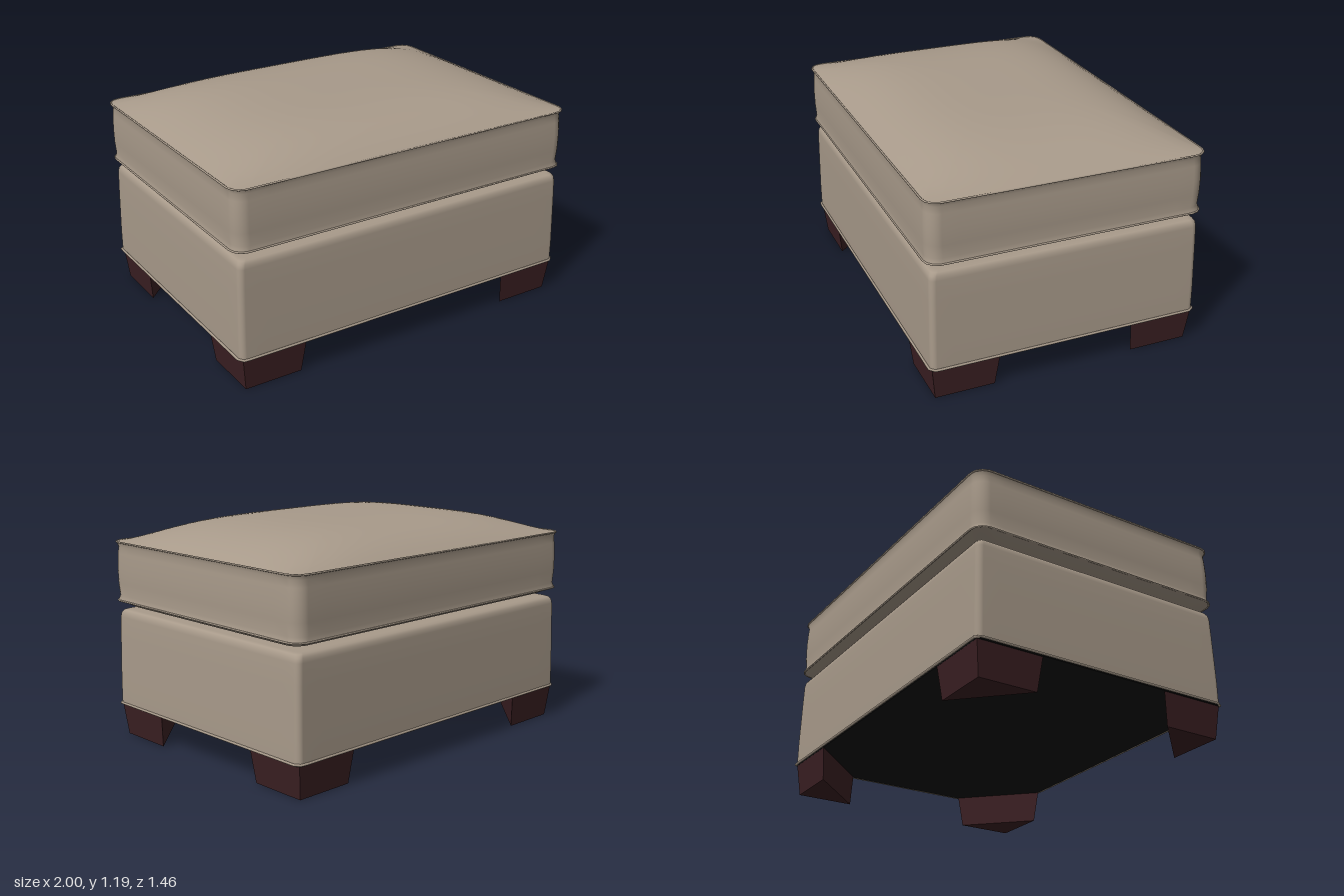
import * as THREE from 'three';

const fabric = new THREE.MeshStandardMaterial({ color: 0xa89a8a });
fabric.name = 'taupe upholstery';
const wood = new THREE.MeshStandardMaterial({ color: 0x3c2023 });
wood.name = 'dark wood';
const lining = new THREE.MeshStandardMaterial({ color: 0x111111 });
lining.name = 'black lining';

// Rounded rectangle in x/z, counterclockwise seen from above, with subdivided sides
function ring(hw, hd, r, y, sides = 16, arc = 6) {
  const corners = [[1, -1, 0], [-1, -1, 1], [-1, 1, 2], [1, 1, 3]];
  const base = [];
  for (const [sx, sz, q] of corners) {
    for (let i = 0; i <= arc; i++) {
      const a = (q + i / arc) * Math.PI / 2;
      base.push([sx * (hw - r) + r * Math.cos(a), sz * (hd - r) - r * Math.sin(a)]);
    }
  }
  const points = [];
  base.forEach((p, i) => {
    points.push(new THREE.Vector3(p[0], y, p[1]));
    if (i % (arc + 1) === arc) {
      const n = base[(i + 1) % base.length];
      for (let k = 1; k < sides; k++) {
        const t = k / sides;
        points.push(new THREE.Vector3(p[0] + (n[0] - p[0]) * t, y, p[1] + (n[1] - p[1]) * t));
      }
    }
  });
  return points;
}

// Skin between closed rings listed from bottom to top
function loft(rings) {
  const n = rings[0].length, index = [];
  for (let i = 0; i < rings.length - 1; i++) {
    for (let j = 0; j < n; j++) {
      const k = (j + 1) % n;
      const a = i * n + j, b = i * n + k, c = a + n, d = b + n;
      index.push(a, b, c, b, d, c);
    }
  }
  const g = new THREE.BufferGeometry().setFromPoints(rings.flat());
  g.setIndex(index);
  g.computeVertexNormals();
  return g;
}

function piping(hw, hd, r, y, radius) {
  const curve = new THREE.CatmullRomCurve3(ring(hw, hd, r, y), true);
  return new THREE.TubeGeometry(curve, 200, radius, 6, true);
}

export function createModel() {
  const model = new THREE.Group();
  const add = (name, geometry, material, parent = model) => {
    const mesh = new THREE.Mesh(geometry, material);
    mesh.name = name;
    parent.add(mesh);
    return mesh;
  };

  // Upholstered box with softened top edge
  const W = 0.982, D = 0.716;
  add('baseBox', loft([
    ring(W, D, 0.03, 0.18), ring(W, D, 0.03, 0.3), ring(W - 0.005, D - 0.004, 0.03, 0.55),
    ring(W - 0.008, D - 0.006, 0.03, 0.655), ring(W - 0.012, D - 0.01, 0.03, 0.678),
    ring(W - 0.022, D - 0.02, 0.03, 0.692), ring(W - 0.04, D - 0.038, 0.03, 0.698),
    ring(W - 0.2, D - 0.2, 0.02, 0.699), ring(0.001, 0.001, 0.0005, 0.699),
  ]), fabric);
  add('basePiping', piping(0.986, 0.72, 0.03, 0.18, 0.007), fabric);

  // Black dust cover underneath
  const cover = add('dustCover', new THREE.BoxGeometry(1.95, 0.008, 1.42), lining);
  cover.position.y = 0.178;

  // Cushion: underside, side band and domed top, split at the seams
  const cushion = new THREE.Group();
  cushion.name = 'cushion';
  model.add(cushion);
  const X = 0.993, Z = 0.724, R = 0.07;
  add('cushionUnderside', loft([
    ring(0.001, 0.001, 0.0005, 0.694), ring(X - 0.3, Z - 0.3, 0.05, 0.694),
    ring(X - 0.14, Z - 0.15, R, 0.697), ring(X - 0.06, Z - 0.07, R, 0.715),
    ring(X, Z, R, 0.748),
  ]), fabric, cushion);
  add('cushionBand', loft([
    ring(X, Z, R, 0.748), ring(X - 0.009, Z - 0.006, R, 0.775), ring(X - 0.004, Z - 0.002, R, 0.84),
    ring(X - 0.003, Z - 0.001, R, 0.92), ring(X - 0.006, Z - 0.004, R, 1.0),
    ring(X - 0.009, Z - 0.007, R, 1.035), ring(X, Z, R, 1.06),
  ]), fabric, cushion);

  // Crown height falls away towards both pairs of edges
  const fall = (v, half) => 1 - Math.pow(Math.min(1, Math.abs(v) / half), 4);
  const domeRings = [];
  const steps = 20;
  for (let i = 0; i <= steps; i++) {
    const s = Math.max(0.001, 1 - i / steps);
    const points = ring(X * s, Z * s, R * s, 1.06);
    for (const p of points) p.y += 0.13 * fall(p.x, X) * fall(p.z, Z);
    domeRings.push(points);
  }
  add('cushionTop', loft(domeRings), fabric, cushion);
  add('upperSeam', piping(X, Z, R, 1.059, 0.005), fabric, cushion);
  add('lowerSeam', piping(X, Z, R, 0.748, 0.005), fabric, cushion);

  // Tapered triangular corner legs
  for (const sx of [1, -1]) {
    for (const sz of [1, -1]) {
      const triangle = (inset, size, y) => {
        const x = 0.97 - inset, z = 0.71 - inset;
        const points = [[x, z], [x, z - size], [x - size, z]]
          .map(([px, pz]) => new THREE.Vector3(px * sx, y, pz * sz));
        return sx * sz > 0 ? points : points.reverse();
      };
      const foot = triangle(0.02, 0.312, 0);
      const centre = foot[0].clone().add(foot[1]).add(foot[2]).divideScalar(3);
      const g = loft([[centre, centre, centre], foot, triangle(0, 0.353, 0.18)]).toNonIndexed();
      g.computeVertexNormals();
      add((sz > 0 ? 'front' : 'back') + (sx > 0 ? 'Left' : 'Right') + 'Leg', g, wood);
    }
  }

  return model;
}
